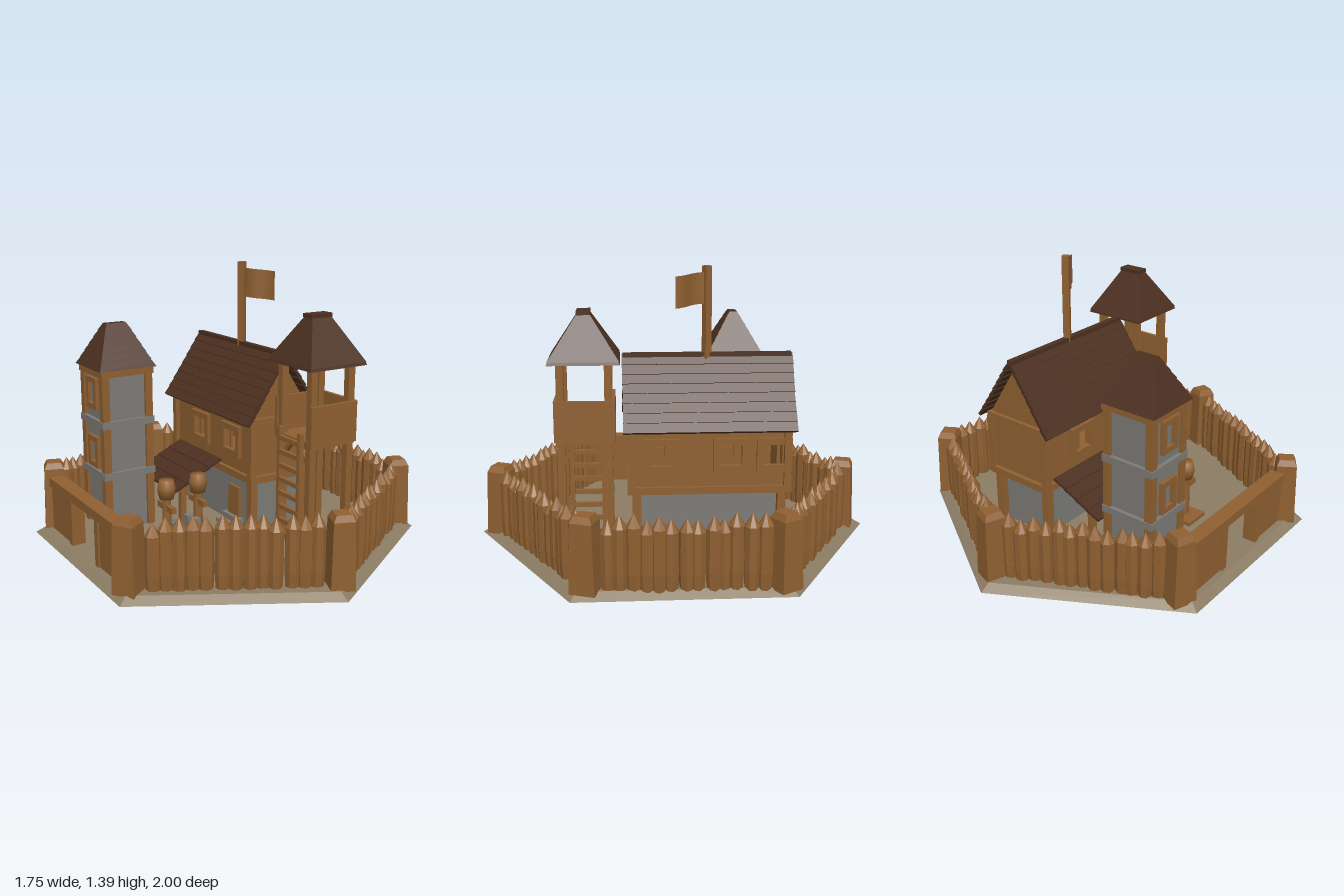
import * as THREE from 'three';

const mat = (name, color, extra = {}) => Object.assign(new THREE.MeshStandardMaterial({ color, ...extra }), { name });

export function createModel() {
  const wood = mat('wood', 0x8f6031);
  const shingle = mat('roof shingle', 0x4c3020);
  const stone = mat('stone', 0x7c7b76);
  const earth = mat('earth', 0x8b7c63);
  const cloth = mat('flag cloth', 0x8f6031, { side: THREE.DoubleSide });
  let seed = 7;
  const rand = () => (seed = (seed * 16807) % 2147483647) / 2147483647;

  const model = new THREE.Group();
  model.name = 'fort';
  const group = (name, parent, x = 0, z = 0) => {
    const g = new THREE.Group();
    g.name = name;
    g.position.set(x, 0, z);
    parent.add(g);
    return g;
  };
  const add = (parent, name, geo, material, x, y, z) => {
    const m = new THREE.Mesh(geo, material);
    m.name = name;
    m.position.set(x, y, z);
    parent.add(m);
    return m;
  };
  // box standing from y0 to y1
  const block = (parent, name, material, w, d, y0, y1, x = 0, z = 0) =>
    add(parent, name, new THREE.BoxGeometry(w, y1 - y0, d), material, x, (y0 + y1) / 2, z);
  // box whose top is w1 x d1
  const taper = (parent, name, material, w0, d0, w1, d1, y0, y1, x = 0, z = 0) => {
    const geo = new THREE.BoxGeometry(w0, y1 - y0, d0);
    const p = geo.attributes.position;
    for (let i = 0; i < p.count; i++) {
      if (p.getY(i) > 0) { p.setX(i, p.getX(i) * w1 / w0); p.setZ(i, p.getZ(i) * d1 / d0); }
    }
    geo.computeVertexNormals();
    return add(parent, name, geo, material, x, (y0 + y1) / 2, z);
  };
  const corners = (w, d, fn) => { for (const sx of [-1, 1]) for (const sz of [-1, 1]) fn(sx * w / 2, sz * d / 2, sx, sz); };
  const rect = (T, x, y, w, h) => {
    const s = new T();
    s.moveTo(x - w / 2, y - h / 2); s.lineTo(x + w / 2, y - h / 2);
    s.lineTo(x + w / 2, y + h / 2); s.lineTo(x - w / 2, y + h / 2);
    s.closePath();
    return s;
  };
  const extrude = (shape, depth) => new THREE.ExtrudeGeometry(shape, { depth, bevelEnabled: false });
  // open picture frame used round windows
  const frame = (parent, x, y, z, w, h, t) => {
    const s = rect(THREE.Shape, x, y, w, h);
    s.holes.push(rect(THREE.Path, x, y, w - 2 * t, h - 2 * t));
    return add(parent, 'windowFrame', extrude(s, 0.025), wood, 0, 0, z);
  };

  // hexagonal ground
  add(model, 'ground', new THREE.CylinderGeometry(0.95, 1, 0.03, 6).toNonIndexed(), earth, 0, 0.015, 0).geometry.computeVertexNormals();

  // palisade with corner posts
  const fence = group('palisade', model);
  const posts = [[-0.02, 0.89, 0.05], [0.79, 0.41, 0.65], [0.77, -0.47, 0.7], [0.02, -0.92, 0.02], [-0.74, -0.47, 0.72], [-0.8, 0.41, 0.7]];
  posts.forEach(([x, z, r], i) => {
    const post = taper(fence, 'cornerPost', wood, 0.115, 0.12, 0.1, 0.1, 0.02, 0.345, x, z);
    const cap = taper(fence, 'cornerPostCap', wood, 0.1, 0.1, 0.07, 0.075, 0.345, 0.375, x, z);
    post.rotation.y = cap.rotation.y = r;
    if (i === 5) return; // the gate closes this side
    const [x2, z2] = posts[i + 1];
    const n = 13;
    for (let k = 0; k < n; k++) {
      const t = 0.105 + 0.79 * k / (n - 1);
      const h = 0.285 + rand() * 0.035;
      const sx = x + (x2 - x) * t + (rand() - 0.5) * 0.015;
      const sz = z + (z2 - z) * t + (rand() - 0.5) * 0.015;
      const stake = new THREE.LatheGeometry([[0.033, 0.02], [0.038, 0.1], [0.037, h], [0, h + 0.06]].map(([a, b]) => new THREE.Vector2(a, b)), 8);
      const m = add(fence, 'stake', stake.toNonIndexed(), wood, sx, 0, sz);
      m.geometry.computeVertexNormals();
      m.rotation.y = rand() * 3;
    }
  });

  // buildings and gate share one turned frame
  const yard = group('yard', model);
  yard.rotation.y = -Math.PI / 6;

  // gate
  const gate = group('gate', yard, -0.03, 0.768);
  block(gate, 'gateBeam', wood, 0.8, 0.075, 0.265, 0.31);
  block(gate, 'gatePanel', wood, 0.25, 0.05, 0.03, 0.27, -0.275);
  block(gate, 'gatePanel', wood, 0.25, 0.05, 0.03, 0.27, 0.285);
  block(gate, 'gateJamb', wood, 0.035, 0.07, 0.03, 0.27, -0.145);
  block(gate, 'gateJamb', wood, 0.035, 0.07, 0.03, 0.27, 0.16);

  // hall
  const hall = group('hall', yard, -0.15, -0.19);
  block(hall, 'groundFloor', stone, 0.66, 0.28, 0.02, 0.32);
  corners(0.7, 0.32, (x, z) => block(hall, 'groundPost', wood, 0.04, 0.04, 0.02, 0.32, x, z));
  block(hall, 'hallFloor', wood, 0.79, 0.39, 0.315, 0.35);
  block(hall, 'hallDoor', wood, 0.1, 0.02, 0.03, 0.24, 0.17, 0.145);
  block(hall, 'doorStep', stone, 0.16, 0.05, 0.02, 0.05, 0.17, 0.19);
  block(hall, 'doorStep', stone, 0.16, 0.03, 0.02, 0.08, 0.17, 0.16);
  for (const [side, xs] of [[1, [-0.11, 0.19]], [-1, [-0.31, -0.1, 0.23]]]) {
    const wall = rect(THREE.Shape, 0, 0.5, 0.74, 0.3);
    for (const x of xs) {
      wall.holes.push(rect(THREE.Path, x, 0.505, 0.11, 0.11));
      frame(hall, x, 0.505, side > 0 ? 0.17 : -0.195, 0.17, 0.165, 0.032);
      block(hall, 'windowBar', wood, 0.016, 0.012, 0.45, 0.56, x - 0.02, side * 0.17);
    }
    add(hall, 'longWall', extrude(wall, 0.02), wood, 0, 0, side > 0 ? 0.155 : -0.175);
    block(hall, 'wallPlate', wood, 0.78, 0.03, 0.615, 0.65, 0, side * 0.18);
    // gable ends
    const gable = new THREE.Shape([[-0.17, 0.35], [0.17, 0.35], [0.17, 0.67], [0, 0.93], [-0.17, 0.67]].map(([a, b]) => new THREE.Vector2(a, b)));
    const end = add(hall, 'gableWall', extrude(gable, 0.02), wood, side * 0.36 - 0.01, 0, 0);
    end.rotation.y = Math.PI / 2;
    block(hall, 'gableBeam', wood, 0.03, 0.38, 0.62, 0.65, side * 0.375);
  }
  corners(0.75, 0.36, (x, z) => block(hall, 'wallPost', wood, 0.035, 0.035, 0.35, 0.63, x, z));
  // overlapping shingle rows
  const pitch = Math.atan2(0.33, 0.225), rows = 8;
  for (const side of [-1, 1]) {
    for (let i = 0; i < rows; i++) {
      const t = (i + 0.5) / rows;
      const row = add(hall, 'shingleRow', new THREE.BoxGeometry(0.815 + rand() * 0.02, 0.016, 0.4 / rows + 0.012),
        shingle, 0, 0.962 - 0.33 * t, side * 0.225 * t);
      row.rotation.x = side * (pitch - 0.1);
    }
  }
  block(hall, 'ridge', shingle, 0.82, 0.03, 0.95, 0.973);

  // porch on the hall front
  const porch = group('porch', hall, -0.115, 0.32);
  for (let i = 0; i < 4; i++) {
    const row = add(porch, 'porchShingleRow', new THREE.BoxGeometry(0.43, 0.014, 0.085), shingle, 0, 0.355 - i * 0.032, -0.095 + i * 0.068);
    row.rotation.x = 0.38;
  }
  for (const x of [-0.19, 0.19]) block(porch, 'porchPost', wood, 0.03, 0.03, 0.02, 0.255, x, 0.09);
  block(porch, 'porchBeam', wood, 0.42, 0.025, 0.235, 0.26, 0, 0.09);

  // stone tower
  const tower = group('stoneTower', yard, -0.347, 0.449);
  block(tower, 'towerWall', stone, 0.235, 0.25, 0.02, 0.87);
  corners(0.225, 0.24, (x, z) => block(tower, 'towerPost', wood, 0.04, 0.04, 0.02, 0.87, x, z));
  for (const y of [0.33, 0.6]) block(tower, 'stoneBand', stone, 0.275, 0.29, y - 0.018, y + 0.018);
  block(tower, 'towerTopBeam', wood, 0.275, 0.29, 0.845, 0.885);
  for (const y of [0.44, 0.75]) frame(tower, 0, y, 0.12, 0.115, 0.165, 0.028);
  for (let i = 0; i < 6; i++) {
    const w = 0.3 - i * 0.042, d = 0.315 - i * 0.033, y = 0.88 + i * 0.036;
    taper(tower, 'towerRoofRow', shingle, w, d, w - 0.05, d - 0.042, y, y + 0.038);
  }

  // wooden watchtower
  const watch = group('watchtower', yard, 0.443, -0.233);
  corners(0.225, 0.225, (x, z) => block(watch, 'watchPost', wood, 0.036, 0.036, 0.02, 0.98, x, z));
  block(watch, 'platform', wood, 0.27, 0.27, 0.565, 0.6);
  for (const s of [-1, 1]) block(watch, 'sideParapet', wood, 0.02, 0.275, 0.575, 0.775, s * 0.135);
  block(watch, 'backParapet', wood, 0.27, 0.02, 0.575, 0.775, 0, -0.135);
  for (const s of [-1, 1]) {
    for (const z of [-0.115, 0.115]) {
      const brace = add(watch, 'brace', new THREE.BoxGeometry(0.02, 0.13, 0.02), wood, s * 0.075, 0.515, z);
      brace.rotation.z = -s * -0.7;
    }
    block(watch, 'ladderRail', wood, 0.022, 0.025, 0.02, 0.64, s * 0.08, 0.15);
  }
  for (let i = 0; i < 8; i++) block(watch, 'ladderRung', wood, 0.17, 0.02, 0.085 + i * 0.07, 0.108 + i * 0.07, 0, 0.155);
  taper(watch, 'watchRoofEave', shingle, 0.34, 0.335, 0.325, 0.32, 0.95, 0.97);
  taper(watch, 'watchRoof', shingle, 0.335, 0.33, 0.06, 0.11, 0.965, 1.175);
  block(watch, 'watchRidge', shingle, 0.065, 0.125, 1.17, 1.19);

  // practice targets on a low deck
  const targets = group('practiceTargets', yard, 0.079, 0.307);
  block(targets, 'deck', wood, 0.14, 0.34, 0.045, 0.065);
  corners(0.1, 0.28, (x, z) => block(targets, 'deckFoot', stone, 0.04, 0.04, 0.02, 0.15, x * 0.6, z * 0.4));
  for (const z of [-0.09, 0.09]) {
    add(targets, 'targetPost', new THREE.CylinderGeometry(0.022, 0.026, 0.25, 8), wood, 0, 0.16, z);
    block(targets, 'targetArms', wood, 0.15, 0.025, 0.215, 0.245, 0, z);
    const keg = [[0, 0.275], [0.036, 0.275], [0.045, 0.315], [0.045, 0.33], [0.036, 0.37], [0, 0.37]];
    add(targets, 'targetKeg', new THREE.LatheGeometry(keg.map(([a, b]) => new THREE.Vector2(a, b)), 12), wood, 0, 0, z);
  }

  // flag
  block(model, 'flagpole', wood, 0.034, 0.034, 0.93, 1.39, -0.03, -0.24);
  const flag = new THREE.PlaneGeometry(0.17, 0.15, 10, 1);
  const fp = flag.attributes.position;
  for (let i = 0; i < fp.count; i++) {
    const x = fp.getX(i);
    fp.setZ(i, Math.sin((x + 0.085) * 34) * 0.012);
    fp.setY(i, fp.getY(i) - (x + 0.085) * 0.08);
  }
  flag.computeVertexNormals();
  add(model, 'flag', flag, cloth, 0.07, 1.285, -0.24);
  return model;
}
